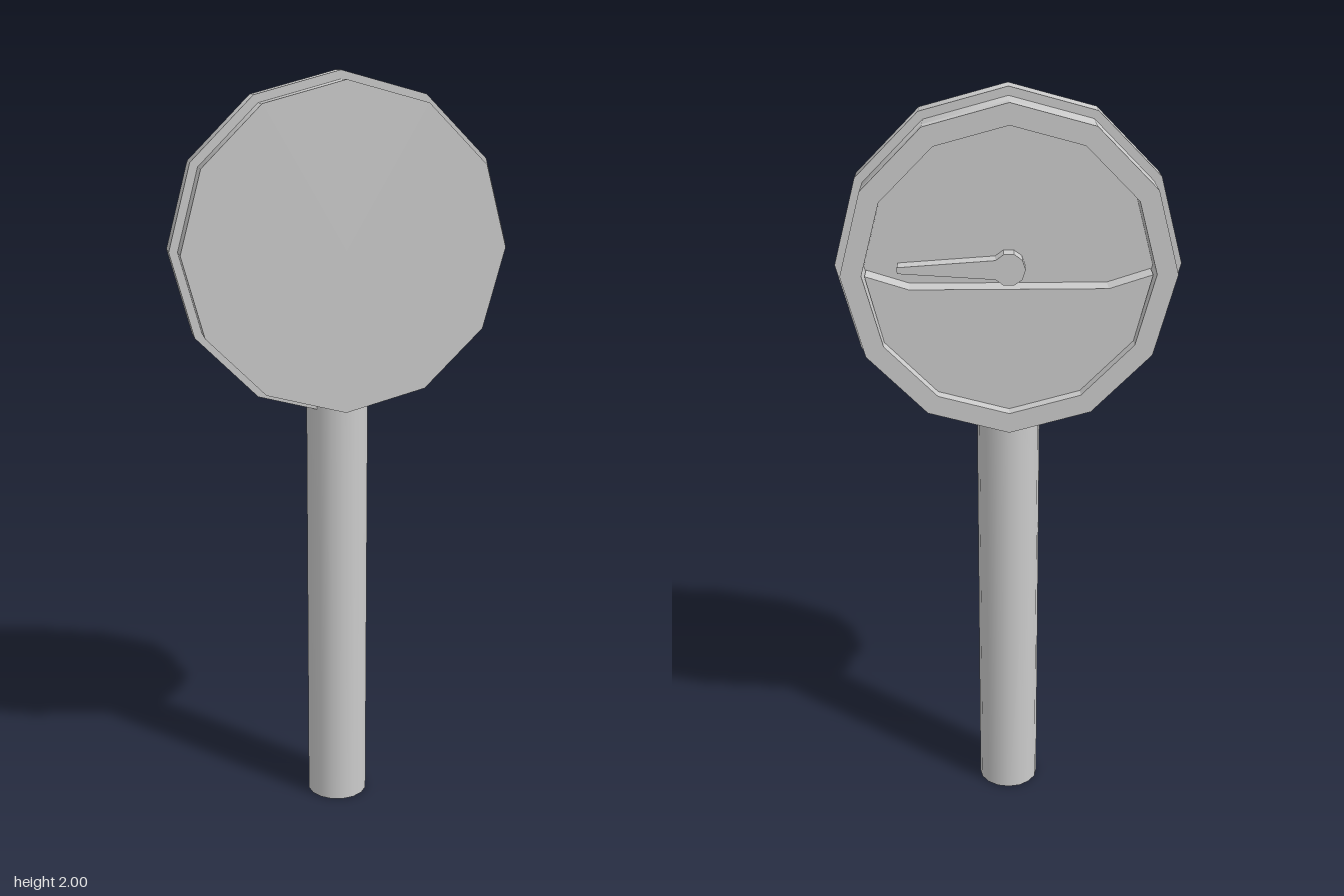
import * as THREE from 'three';

const CENTRE_Y = 1.56;
const SIDES = 12;

const smooth = new THREE.MeshStandardMaterial({ color: 0xcccccc });
const flat = new THREE.MeshStandardMaterial({ color: 0xcccccc, flatShading: true });
const inside = new THREE.MeshStandardMaterial({ color: 0xcccccc, flatShading: true, side: THREE.BackSide });

// Twelve-sided corner, counted from +x
function corner(radius, i) {
  const a = (i / SIDES) * Math.PI * 2;
  return new THREE.Vector2(Math.cos(a) * radius, Math.sin(a) * radius);
}

function polygon(radius) {
  return Array.from({ length: SIDES }, (_, i) => corner(radius, i));
}

// Cylinder lying along z between two depths
function drum(radius, z0, z1, open = false) {
  const g = new THREE.CylinderGeometry(radius, radius, z1 - z0, SIDES, 1, open);
  return g.rotateX(Math.PI / 2).translate(0, 0, (z0 + z1) / 2);
}

// Flat outline given thickness between two depths
function slab(shape, z0, z1) {
  return new THREE.ExtrudeGeometry(shape, { depth: z1 - z0, bevelEnabled: false }).translate(0, 0, z0);
}

export function createModel() {
  const model = new THREE.Group();
  model.name = 'dialGauge';
  const head = new THREE.Group();
  head.name = 'gaugeHead';
  head.position.y = CENTRE_Y;
  model.add(head);

  const add = (parent, name, geometry, material) => {
    const mesh = new THREE.Mesh(geometry, material);
    mesh.name = name;
    parent.add(mesh);
  };

  // Housing: smooth wall, flat closed side and raised middle band
  add(head, 'housingWall', drum(0.418, -0.088, 0.12, true), smooth);
  const cover = new THREE.CircleGeometry(0.418, SIDES).translate(0, 0, 0.12);
  add(head, 'housingCover', cover, flat);
  add(head, 'middleBand', drum(0.44, -0.018, 0.05), smooth);

  // Faceted bezel around the dial opening
  const ring = new THREE.Shape(polygon(0.418));
  ring.holes.push(new THREE.Path(polygon(0.365).reverse()));
  add(head, 'bezel', slab(ring, -0.125, -0.088), flat);

  // Recessed dial and its inner wall
  add(head, 'recessWall', drum(0.365, -0.088, -0.03, true), inside);
  const dial = new THREE.CircleGeometry(0.365, SIDES).rotateY(Math.PI).translate(0, 0, -0.03);
  add(head, 'dial', dial, flat);

  // Raised plate over the lower half, with a dipped upper edge
  const lower = [7, 8, 9, 10, 11].map((i) => corner(0.365, i));
  const plate = new THREE.Shape([
    new THREE.Vector2(0.36, -0.01),
    new THREE.Vector2(0.25, -0.045),
    new THREE.Vector2(-0.25, -0.045),
    new THREE.Vector2(-0.36, -0.01),
    ...lower,
  ]);
  add(head, 'lowerPlate', slab(plate, -0.09, -0.03), flat);

  // Pointer: tapered arm merging into a round hub
  const pointer = new THREE.Shape();
  pointer.moveTo(0.28, -0.008);
  pointer.lineTo(0.28, 0.008);
  for (let i = 0; i <= 8; i++) {
    const a = Math.PI * (0.2 + (1.6 * i) / 8);
    pointer.lineTo(Math.cos(a) * 0.042, Math.sin(a) * 0.042);
  }
  pointer.closePath();
  add(head, 'pointer', slab(pointer, -0.075, -0.03), flat);

  // Open pipe carrying the head
  const pipe = new THREE.CylinderGeometry(0.083, 0.083, 1.18, 16, 1, true).translate(0, 0.59, 0);
  add(model, 'pipe', pipe, smooth);

  return model;
}
